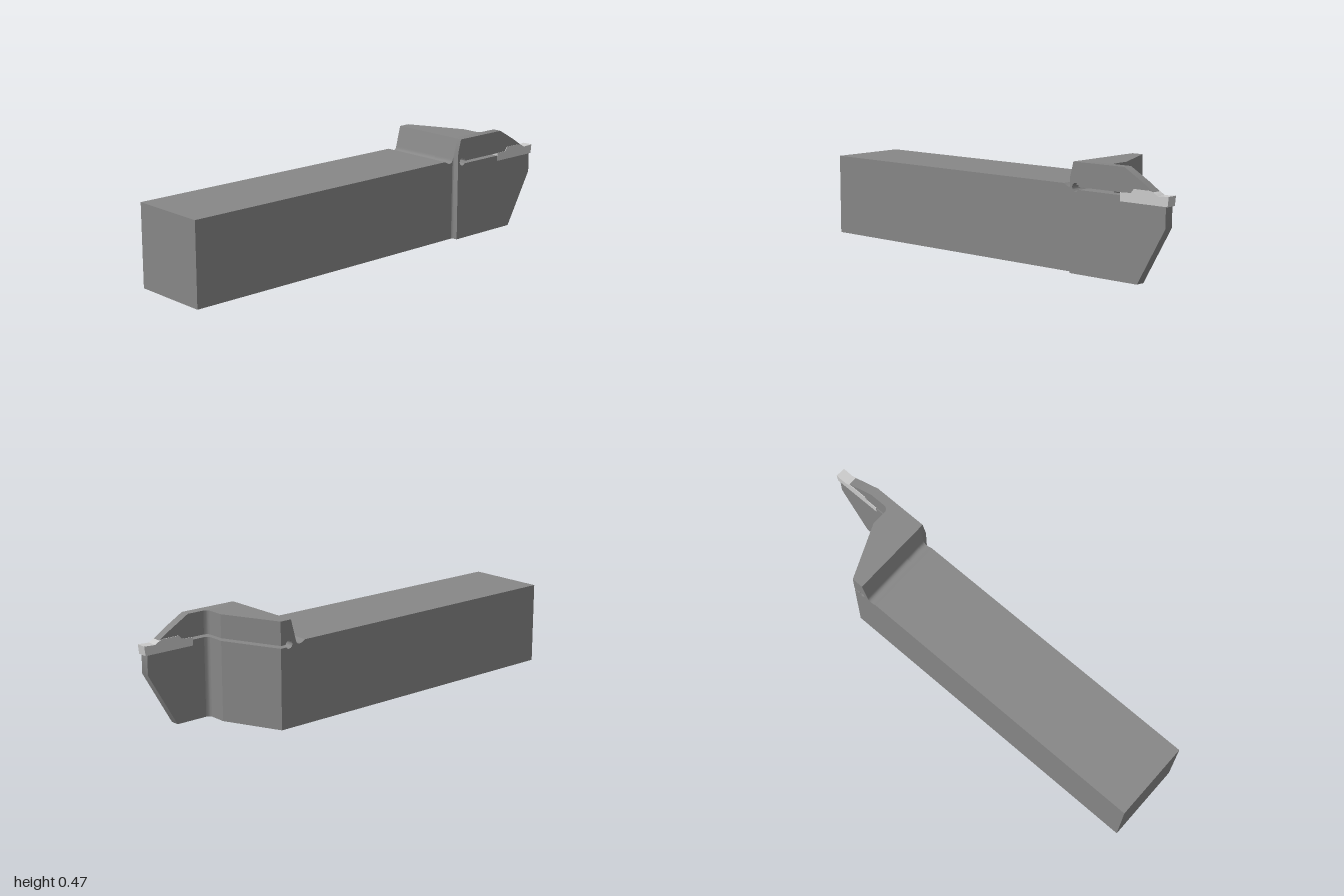
import * as THREE from 'three';
import { toCreasedNormals } from 'three/addons/utils/BufferGeometryUtils.js';

const BACK = 0.675;   // rear of the head block, measured towards -z
const FRONT = 0.488;  // front of the side shoulder, measured towards -z
const RAMP = 0.478;   // foot of the ramp that rises to the head

// Side profiles use u = -z across and y up.
const rampY = u => 0.374 + 3.74 * (u - RAMP);
const groove = [[0.505, 0.475], [0.48, rampY(0.48)], [RAMP, 0.374], [0.474, 0.367],
  [0.467, 0.363], [0.458, 0.362], [0.448, 0.365], [0.43, 0.375]];
const shoulder = [[0.505, 0.475], [FRONT, rampY(FRONT)], [FRONT, 0]];

// Closed outline with a round relief hole at the inner end of the clamping slit
function slitProfile(start, before, after) {
  const s = new THREE.Shape();
  s.moveTo(start, 0);
  before.forEach(p => s.lineTo(...p));
  s.absarc(0.517, 0.368, 0.018, -0.59, 0.11, true);
  after.forEach(p => s.lineTo(...p));
  return s;
}

const blockProfile = () => slitProfile(0.43,
  [[BACK, 0], [BACK, 0.358]],
  [[BACK, 0.37], [BACK, 0.475], ...groove]);

const bladeProfile = (start, frontEdge) => slitProfile(start,
  [[0.845, 0], [0.985, 0.245], [0.985, 0.333], [0.755, 0.333], [0.755, 0.358]],
  [[0.755, 0.37], [0.81, 0.372], [0.825, 0.39], [0.9, 0.39], [0.922, 0.386],
    [0.87, 0.42], [0.775, 0.475], ...frontEdge]);

// Extrude a side profile along x; move may return a new [u, y] for each vertex
function slab(shape, x0, x1, steps = 1, move = (u, y) => [u, y]) {
  const geo = new THREE.ExtrudeGeometry(shape, { depth: x1 - x0, steps, bevelEnabled: false, curveSegments: 24 });
  geo.rotateY(Math.PI / 2).translate(x0, 0, 0);
  const p = geo.attributes.position;
  for (let i = 0; i < p.count; i++) {
    const [u, y] = move(-p.getZ(i), p.getY(i), p.getX(i));
    p.setY(i, y).setZ(i, -u);
  }
  geo.computeVertexNormals();
  return toCreasedNormals(geo, 0.55);
}

const near = (a, b) => Math.abs(a - b) < 1e-4;

// Plan outline of the rear face: slanted, straight, then a fillet into the blade
function rearFace(u, y, x) {
  if (!near(u, BACK)) return [u, y];
  if (x < 0.06) return [BACK - 0.115 * (0.06 - x) / 0.26, y];
  const f = Math.min(1, Math.max(0, (x - 0.135) / 0.02));
  return [BACK + 0.02 * (1 - Math.sqrt(1 - f * f)), y];
}

// Concave fillet from the shank side out to the shoulder, its top following the ramp
function cove(u, y, x) {
  if (!near(u, FRONT)) return [u, y];
  const f = Math.min(1, Math.max(0, (x - 0.171) / 0.027));
  const c = RAMP + (FRONT - RAMP) * Math.sqrt(1 - (1 - f) ** 2);
  return [c, y > 0.38 ? rampY(c) : y];
}

export function createModel() {
  const model = new THREE.Group();
  const steel = new THREE.MeshStandardMaterial({ color: 0x878787 });
  const carbide = new THREE.MeshStandardMaterial({ color: 0xcccccc });

  const add = (name, geo, material, parent = model) => {
    const mesh = new THREE.Mesh(geo, material);
    mesh.name = name;
    parent.add(mesh);
    return mesh;
  };

  // Square shank
  add('shank', new THREE.BoxGeometry(0.371, 0.375, 1.43), steel).position.set(-0.0145, 0.1875, 0.285);

  // Head block behind the shank
  const head = new THREE.Group();
  head.name = 'head';
  model.add(head);
  add('slantedBlock', slab(blockProfile(), -0.2, 0.06, 1, rearFace), steel, head);
  add('straightBlock', slab(blockProfile(), 0.06, 0.135, 1, rearFace), steel, head);
  add('bladeFillet', slab(blockProfile(), 0.135, 0.155, 6, rearFace), steel, head);

  // Thin blade with its pocket, and the outer layer that stands proud of the shank
  const blade = new THREE.Group();
  blade.name = 'blade';
  model.add(blade);
  add('innerBlade', slab(bladeProfile(0.43, groove), 0.155, 0.171), steel, blade);
  add('outerBlade', slab(bladeProfile(FRONT, shoulder), 0.171, 0.198, 8, cove), steel, blade);

  // Cutting insert held in the pocket
  const insert = new THREE.Shape([
    [0.755, 0.333], [0.995, 0.333], [1, 0.375], [0.945, 0.372], [0.922, 0.386],
    [0.9, 0.39], [0.825, 0.39], [0.81, 0.372], [0.755, 0.37],
  ].map(p => new THREE.Vector2(...p)));
  add('cuttingInsert', slab(insert, 0.152, 0.2), carbide);

  return model;
}
